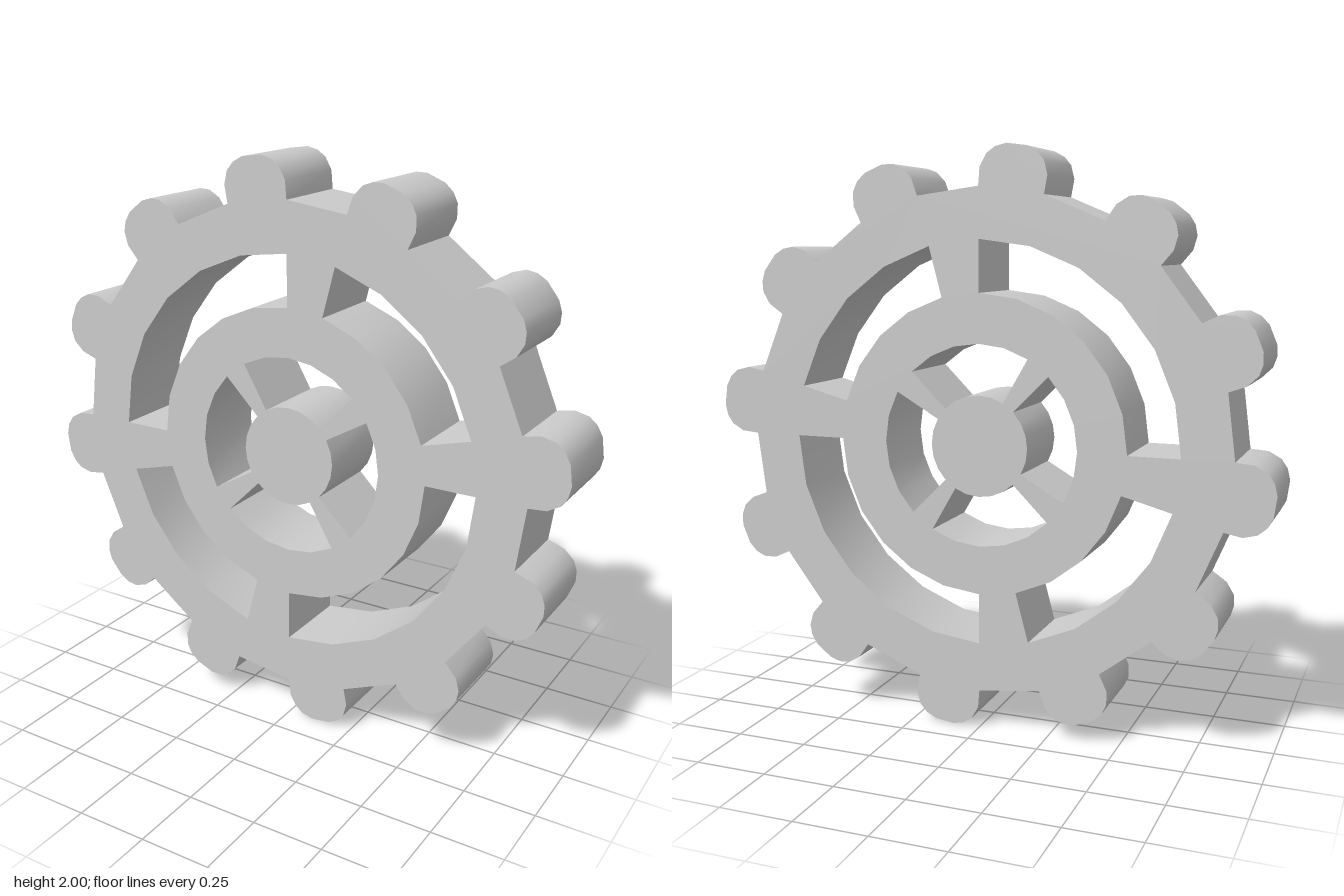
import * as THREE from 'three';
import { toCreasedNormals } from 'three/addons/utils/BufferGeometryUtils.js';

const TEETH = 12;
const DEPTH = 0.288;
const STEP = 15; // degrees between the corners of every arc
const rad = THREE.MathUtils.degToRad;

// Half tooth outline: [distance from axis, half width], root to tip
const TOOTH = [[0.858, 0.115], [0.92, 0.118], [0.965, 0.1], [0.99, 0.072], [1.004, 0.035]];

const polar = (r, deg) => new THREE.Vector2(r * Math.cos(rad(deg)), r * Math.sin(rad(deg)));

// Toothed rim, counter-clockwise; straight valleys join neighbouring teeth
function rimOutline() {
  const points = [];
  const profile = [
    ...TOOTH.map(([u, v]) => [u, -v]),
    ...TOOTH.slice().reverse(),
  ];
  for (let i = 0; i < TEETH; i++) {
    const angle = rad(7.6 + (i * 360) / TEETH);
    for (const [u, v] of profile) {
      points.push(new THREE.Vector2(u, v).rotateAround(new THREE.Vector2(), angle));
    }
  }
  return points;
}

// Curved window between two radii and two angles
function slot(inner, outer, from, to) {
  const points = [];
  for (let a = from; a <= to; a += STEP) points.push(polar(outer, a));
  for (let a = to; a >= from; a -= STEP) points.push(polar(inner, a));
  return new THREE.Path(points);
}

export function createModel() {
  const group = new THREE.Group();
  group.name = 'gear';

  const shape = new THREE.Shape(rimOutline());

  // Outer windows: alternately short and long, leaving four spokes
  for (const [from, to] of [[15, 75], [90, 180], [195, 255], [270, 360]]) {
    shape.holes.push(slot(0.517, 0.694, from, to));
  }
  // Inner windows around the hub, leaving four thin spokes
  for (let i = 0; i < 4; i++) {
    shape.holes.push(slot(0.174, 0.348, 45 + i * 90, 120 + i * 90));
  }

  const geometry = new THREE.ExtrudeGeometry(shape, { depth: DEPTH, bevelEnabled: false });
  geometry.translate(0, 0, -DEPTH / 2);

  const wheel = new THREE.Mesh(
    toCreasedNormals(geometry, 0.65),
    new THREE.MeshStandardMaterial({ color: 0xcccccc }),
  );
  wheel.name = 'gearWheel';
  wheel.position.y = 1;
  group.add(wheel);
  return group;
}
